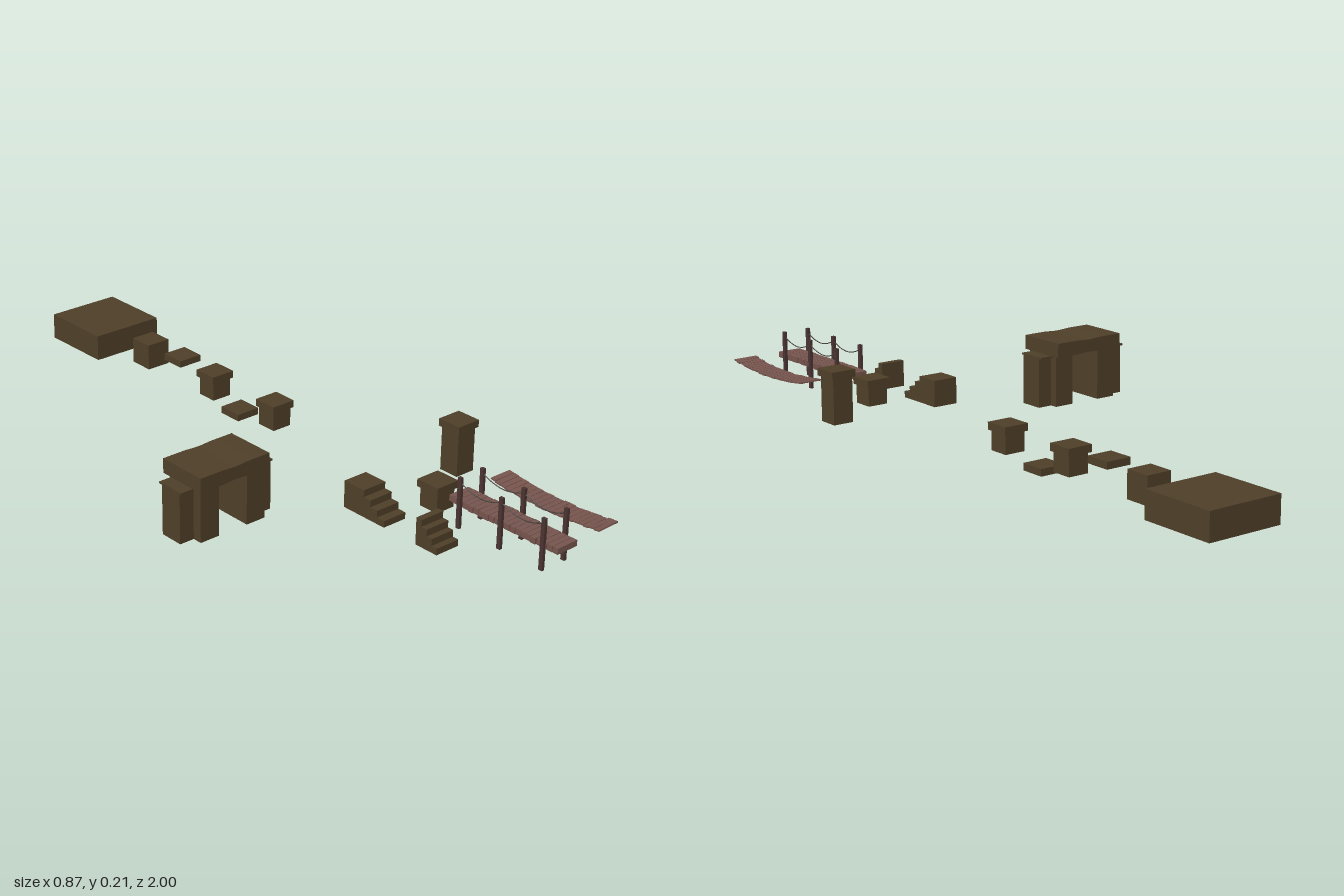
import * as THREE from 'three';

const mat = (name, color) => Object.assign(new THREE.MeshStandardMaterial({ color }), { name });

export function createModel() {
  const root = new THREE.Group();
  root.name = 'obstacleCourse';
  const stone = mat('brown stone', 0x4e3f28);
  const plankWood = mat('reddish plank wood', 0x76544d);
  const postWood = mat('dark post wood', 0x4a3432);
  const rope = mat('rope', 0x4a423e);

  let seed = 7;
  const jitter = (a) => {
    seed = (seed * 16807) % 2147483647;
    return (seed / 2147483647 - 0.5) * 2 * a;
  };
  const group = (name, parent = root) => {
    const g = new THREE.Group();
    g.name = name;
    parent.add(g);
    return g;
  };
  // Box given by its lower and upper limits on each axis
  const box = (name, x0, x1, y0, y1, z0, z1, material = stone, parent = root) => {
    const m = new THREE.Mesh(new THREE.BoxGeometry(x1 - x0, y1 - y0, z1 - z0), material);
    m.position.set((x0 + x1) / 2, (y0 + y1) / 2, (z0 + z1) / 2);
    m.name = name;
    parent.add(m);
  };

  // Large end platform and plain stepping blocks
  box('endPlatform', 0.095, 0.32, 0.021, 0.098, -1, -0.775);
  box('plainBlock', 0.169, 0.244, 0.021, 0.098, -0.697, -0.622);
  box('highSlab', 0.169, 0.244, 0.078, 0.098, -0.546, -0.471);
  box('lowSlab', 0.169, 0.244, 0, 0.02, -0.284, -0.209);

  // Pillars with an overhanging cap
  const pillar = (x, z, top) => {
    const g = group('cappedPillar');
    box('pillarBody', x - 0.031, x + 0.031, 0.021, top - 0.02, z - 0.031, z + 0.031, stone, g);
    box('pillarCap', x - 0.0375, x + 0.0375, top - 0.021, top, z - 0.0375, z + 0.0375, stone, g);
  };
  pillar(0.2065, -0.358, 0.098);
  pillar(0.2065, -0.094, 0.098);
  pillar(0.2065, 0.55, 0.098);
  pillar(0.396, 0.436, 0.172);

  // Stairs: stepped side profile, z values run from the back to each riser
  const stairs = (name, back, risers) => {
    const s = new THREE.Shape();
    s.moveTo(-back, 0.021);
    s.lineTo(-back, 0.098);
    risers.forEach((z, i) => {
      s.lineTo(-z, 0.098 - i * 0.0195);
      s.lineTo(-z, i < 3 ? 0.0785 - i * 0.0195 : 0.021);
    });
    const geo = new THREE.ExtrudeGeometry(s, { depth: 0.076, bevelEnabled: false });
    geo.rotateY(Math.PI / 2); // profile x becomes -z, depth becomes +x
    const m = new THREE.Mesh(geo, stone);
    m.position.x = 0.018;
    m.name = name;
    root.add(m);
  };
  stairs('longStairs', 0.398, [0.471, 0.496, 0.522, 0.548]);
  stairs('shortStairs', 0.663, [0.682, 0.701, 0.719, 0.738]);

  // Archway: paired leg blocks below a slab pinched in the middle
  const arch = group('archway');
  for (const s of [-1, 1]) {
    const span = (name, a, b, y0, y1, z0, z1) => {
      const p = -0.285 + s * a, q = -0.285 + s * b;
      box(name, Math.min(p, q), Math.max(p, q), y0, y1, z0, z1, stone, arch);
    };
    span('innerLeg', 0.046, 0.106, 0.021, 0.168, 0.188, 0.309);
    span('outerLeg', 0.105, 0.15, 0.021, 0.164, 0.21, 0.281);
    span('outerLegCap', 0.105, 0.151, 0.163, 0.168, 0.2, 0.287);
  }
  const lintelGeo = new THREE.BoxGeometry(0.226, 0.041, 0.15, 20, 1, 1);
  const lp = lintelGeo.attributes.position;
  for (let i = 0; i < lp.count; i++) {
    const t = Math.min(1, Math.abs(lp.getX(i)) / 0.05);
    lp.setY(i, lp.getY(i) * (1 - 0.06 * (1 + Math.cos(Math.PI * t))));
  }
  lintelGeo.computeVertexNormals();
  const lintel = new THREE.Mesh(lintelGeo, stone);
  lintel.name = 'archLintel';
  lintel.position.set(-0.285, 0.1885, 0.244);
  arch.add(lintel);

  // Plank deck with slightly uneven boards; sag lowers the middle
  const z0 = 0.626, z1 = 1, count = 21, pitch = (z1 - z0) / count;
  const deckHeight = (z, top, sag) => top - sag * (1 - ((z - 0.813) / 0.187) ** 2);
  const deck = (g, x, top, sag, thickness) => {
    for (let i = 0; i < count; i++) {
      const z = z0 + (i + 0.5) * pitch;
      const m = new THREE.Mesh(
        new THREE.BoxGeometry(0.072 + jitter(0.003), thickness, pitch * 0.92), plankWood);
      m.name = 'plank';
      m.position.set(x + jitter(0.002), deckHeight(z, top, sag) - thickness / 2, z);
      m.rotation.set(-Math.atan(2 * sag * (z - 0.813) / 0.187 ** 2), jitter(0.03), 0);
      g.add(m);
    }
  };
  const tube = (name, pts, r, material, g) => {
    const curve = new THREE.CatmullRomCurve3(pts.map((p) => new THREE.Vector3(...p)));
    const m = new THREE.Mesh(new THREE.TubeGeometry(curve, 14, r, 5), material);
    m.name = name;
    g.add(m);
  };

  // Straight bridge on posts with sagging hand ropes
  const bridge = group('postBridge');
  deck(bridge, 0.205, 0.096, 0, 0.017);
  const postZ = [0.67, 0.813, 0.955];
  for (const s of [-1, 1]) {
    const x = 0.205 + s * 0.0405;
    for (const z of postZ) {
      box('bridgePost', x - 0.0045, x + 0.0045, 0.02, 0.165, z - 0.006, z + 0.006, postWood, bridge);
    }
    for (let i = 0; i < 2; i++) {
      const a = postZ[i], b = postZ[i + 1], d = b - a;
      tube('handRope', [[x, 0.15, a], [x, 0.137, a + d * 0.25], [x, 0.132, a + d / 2],
        [x, 0.137, a + d * 0.75], [x, 0.15, b]], 0.0015, rope, bridge);
    }
  }

  // Hanging bridge, sagging along its length
  const hanging = group('hangingBridge');
  deck(hanging, 0.358, 0.095, 0.014, 0.004);
  for (const s of [-1, 1]) {
    const pts = [0, 0.25, 0.5, 0.75, 1].map((t) => {
      const z = z0 + (z1 - z0) * t;
      return [0.358 + s * 0.028, deckHeight(z, 0.0905, 0.014), z];
    });
    tube('deckRope', pts, 0.0015, rope, hanging);
  }
  return root;
}
